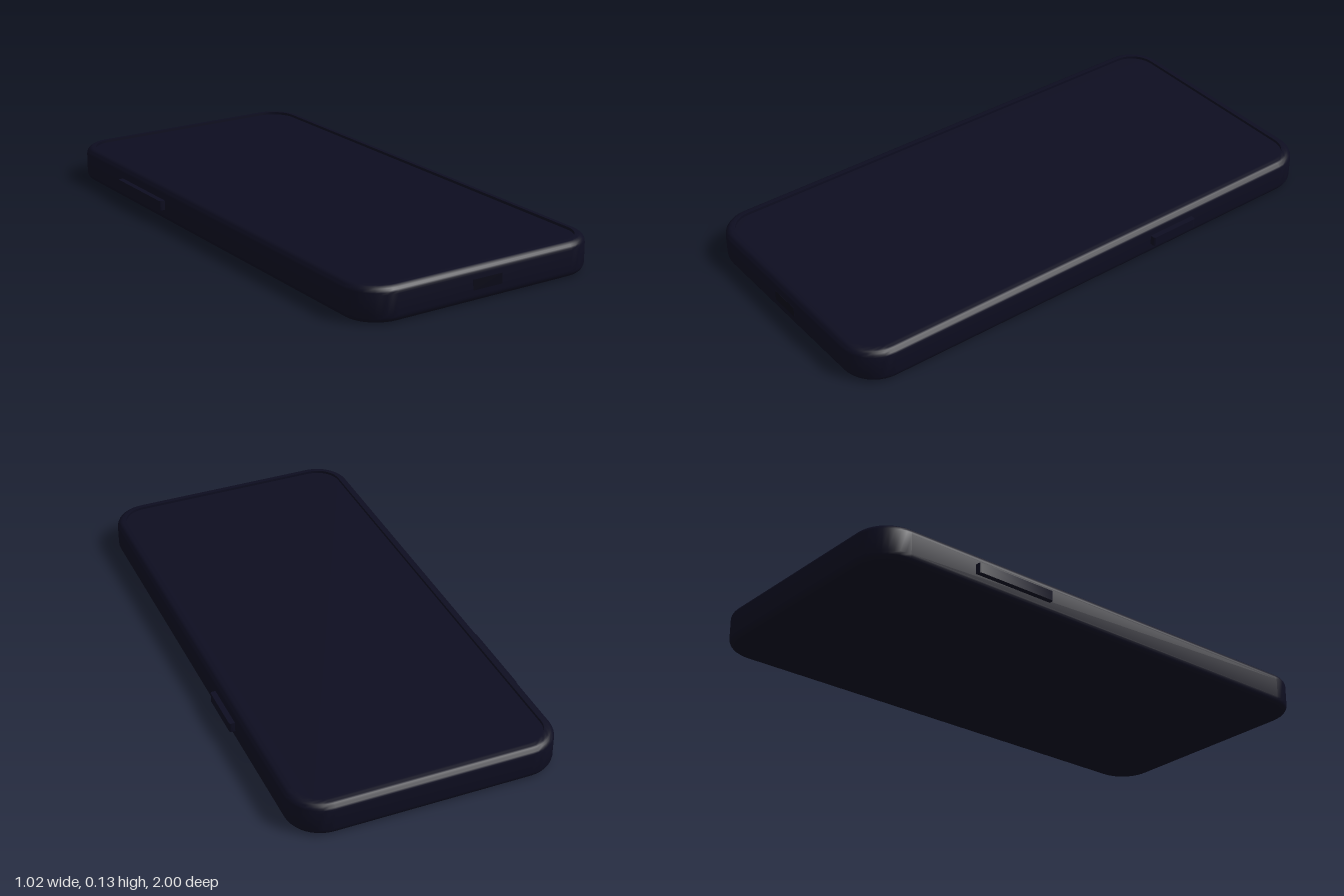
import * as THREE from 'three';
import { toCreasedNormals } from 'three/addons/utils/BufferGeometryUtils.js';

const HALF_W = 0.49, HALF_L = 1, HEIGHT = 0.128, CORNER = 0.13, BEVEL = 0.028;
const LIP = 0.036, RECESS = 0.01;

// Rounded rectangle outline, counter-clockwise
function roundedRect(hw, hl, r) {
  const points = [];
  const corners = [[1, 1], [-1, 1], [-1, -1], [1, -1]];
  corners.forEach(([sx, sy], c) => {
    for (let i = 0; i <= 10; i++) {
      const a = (c + i / 10) * Math.PI / 2;
      points.push(new THREE.Vector2(sx * (hw - r) + r * Math.cos(a), sy * (hl - r) + r * Math.sin(a)));
    }
  });
  return points;
}

const inset = (d) => roundedRect(HALF_W - d, HALF_L - d, CORNER - d);

// Walls swept through rounded rectangles, each given as [inset, height]
function shellGeometry(profile) {
  const position = [], index = [];
  const n = inset(0).length;
  profile.forEach(([d, y]) => inset(d).forEach((p) => position.push(p.x, y, -p.y)));
  for (let k = 0; k < profile.length - 1; k++) {
    for (let i = 0; i < n; i++) {
      const a = k * n + i, b = k * n + (i + 1) % n;
      index.push(a, b, b + n, a, b + n, a + n);
    }
  }
  const geometry = new THREE.BufferGeometry();
  geometry.setAttribute('position', new THREE.Float32BufferAttribute(position, 3));
  geometry.setIndex(index);
  return toCreasedNormals(geometry, Math.PI / 5);
}

export function createModel() {
  const group = new THREE.Group();
  const bodyMaterial = new THREE.MeshStandardMaterial({ color: 0x0d0d20 });
  bodyMaterial.name = 'midnight blue';
  const portMaterial = new THREE.MeshStandardMaterial({ color: 0x0a0a18 });
  portMaterial.name = 'port black';

  const add = (name, geometry, material, x = 0, y = 0, z = 0) => {
    const mesh = new THREE.Mesh(geometry, material);
    mesh.name = name;
    mesh.position.set(x, y, z);
    group.add(mesh);
    return mesh;
  };

  // Case walls: rounded lower edge, rounded upper edge, then the lip around the screen
  const profile = [];
  for (let i = 0; i <= 6; i++) {
    const a = i / 6 * Math.PI / 2;
    profile.push([BEVEL * (1 - Math.sin(a)), BEVEL * (1 - Math.cos(a))]);
  }
  for (let i = 0; i <= 6; i++) {
    const a = i / 6 * Math.PI / 2;
    profile.push([BEVEL * (1 - Math.cos(a)), HEIGHT - BEVEL * (1 - Math.sin(a))]);
  }
  profile.push([LIP, HEIGHT], [LIP, HEIGHT - RECESS]);
  add('caseFrame', shellGeometry(profile), bodyMaterial);

  // Flat screen and back panel
  const panel = (d) => new THREE.ShapeGeometry(new THREE.Shape(inset(d)));
  add('screen', panel(LIP).rotateX(-Math.PI / 2), bodyMaterial, 0, HEIGHT - RECESS, 0);
  add('backPanel', panel(BEVEL).rotateX(Math.PI / 2), bodyMaterial);

  // Side buttons: long one on the right, short one on the left
  const buttons = [['volumeButton', -1, -0.44, 0.325], ['powerButton', 1, -0.33, 0.195]];
  for (const [name, side, z, length] of buttons) {
    const shape = new THREE.Shape(roundedRect(0.02, length / 2, 0.008));
    const geometry = new THREE.ExtrudeGeometry(shape, { depth: 0.036, bevelEnabled: false });
    geometry.rotateX(-Math.PI / 2);
    add(name, toCreasedNormals(geometry, Math.PI / 5), bodyMaterial, side * 0.49, 0.047, z);
  }

  // Charging port plate on the front end
  add('chargingPort', new THREE.BoxGeometry(0.12, 0.038, 0.006), portMaterial, 0, 0.064, HALF_L - 0.002);

  return group;
}
